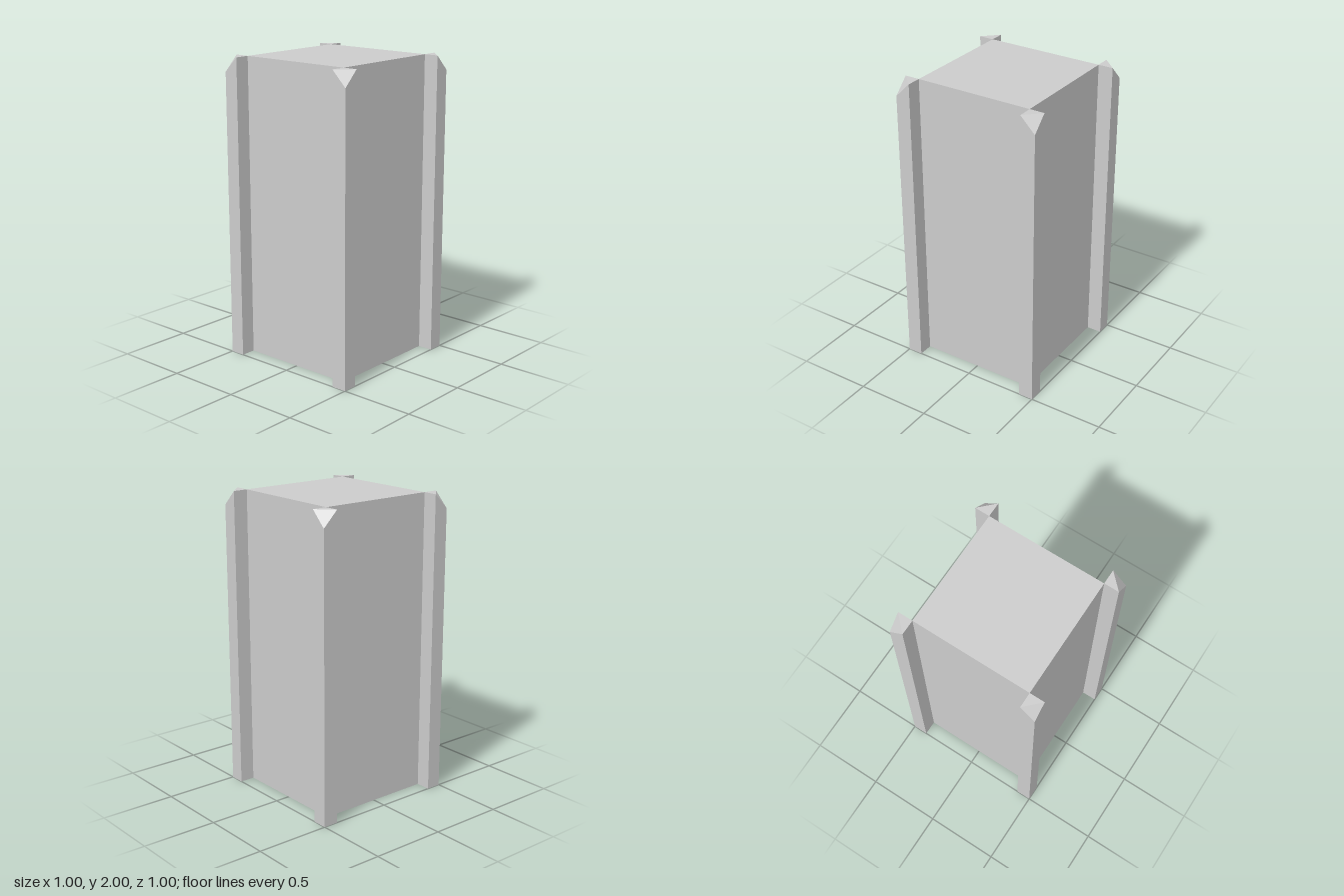
import * as THREE from 'three';

const HEIGHT = 2;
const BODY = 0.8;
const POST = 0.1;

// Box standing on y = 0 with its bottom face left out
function openBox(width) {
  const geo = new THREE.BoxGeometry(width, HEIGHT, width);
  geo.translate(0, HEIGHT / 2, 0);
  const index = Array.from(geo.index.array);
  index.splice(18, 6);
  geo.setIndex(index);
  geo.clearGroups();
  return geo;
}

// Post whose outer (+x, +z) top corner is cut down at a slant
function postGeometry() {
  const geo = openBox(POST);
  const p = geo.attributes.position;
  for (let i = 0; i < p.count; i++) {
    if (p.getX(i) > 0 && p.getZ(i) > 0 && p.getY(i) > HEIGHT - 0.01) p.setY(i, HEIGHT - POST);
  }
  const flat = geo.toNonIndexed();
  flat.computeVertexNormals();
  return flat;
}

export function createModel() {
  const group = new THREE.Group();
  const material = new THREE.MeshStandardMaterial({
    color: 0xcccccc, flatShading: true, side: THREE.DoubleSide,
  });

  // Square hollow body with a closed top
  const body = new THREE.Mesh(openBox(BODY), material);
  body.name = 'body';
  group.add(body);

  // Four corner posts, each touching a vertical edge of the body
  const geo = postGeometry();
  const offset = (BODY + POST) / 2;
  const names = ['frontLeftPost', 'backLeftPost', 'backRightPost', 'frontRightPost'];
  names.forEach((name, i) => {
    const corner = new THREE.Group();
    corner.name = name;
    corner.rotation.y = i * Math.PI / 2;
    const post = new THREE.Mesh(geo, material);
    post.name = 'post';
    post.position.set(offset, 0, offset);
    corner.add(post);
    group.add(corner);
  });

  return group;
}
